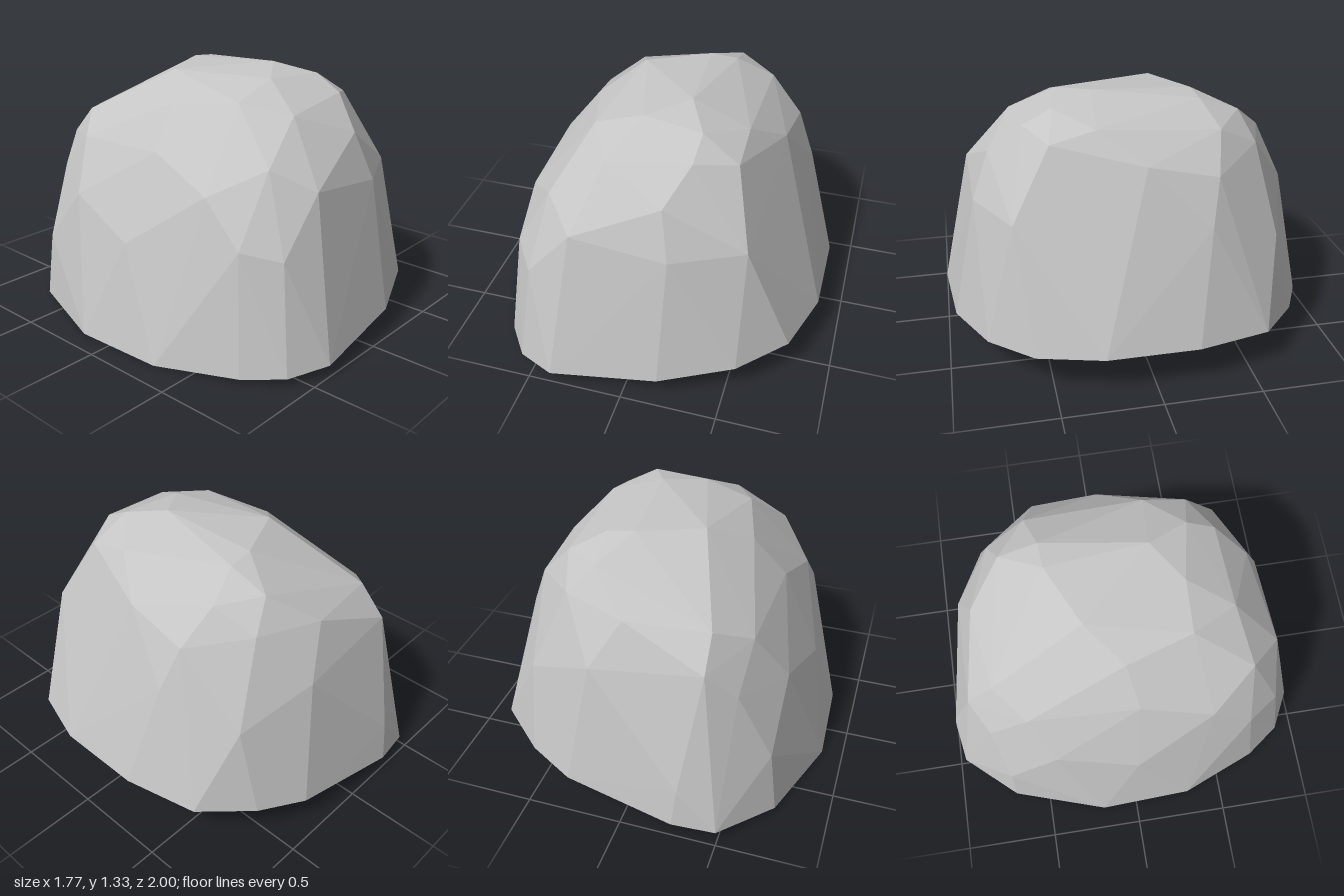
import * as THREE from 'three';
import { ConvexGeometry } from 'three/addons/geometries/ConvexGeometry.js';

// Slanted base outline as x, z pairs
const base = [
  [-0.27, -1], [0.31, -0.92], [0.55, -0.8], [0.79, -0.59], [0.885, -0.21], [0.885, 0.26],
  [0.78, 0.59], [0.55, 0.805], [0.18, 0.955], [-0.38, 1], [-0.58, 0.9], [-0.71, 0.72],
  [-0.87, 0.31], [-0.89, -0.19], [-0.73, -0.69], [-0.49, -0.965],
];

// Corners of the crown
const crown = [
  [0.155, 1.33, 0.2], [-0.2, 1.29, -0.18], [0.26, 1.285, -0.34], [0.12, 1.3, -0.33],
  [-0.05, 1.29, 0.35], [-0.3, 1.21, 0.35], [-0.4, 1.17, 0], [0.26, 1.28, 0.41],
  [0.45, 1.22, 0.22], [0.45, 1.16, 0.45], [0.25, 1.2, 0.56], [-0.17, 1.16, 0.59],
  [0.25, 1.21, -0.55], [0.45, 1.18, -0.4],
];

// Corners of the flanks
const flanks = [
  [-0.44, 0.97, 0.66], [0.15, 1.04, 0.73], [-0.285, 0.86, 0.83], [0.2, 0.8, 0.82],
  [-0.64, 0.62, 0.65], [-0.52, 0.58, 0.82], [-0.625, 0.83, 0.43], [0.55, 0.8, 0.65],
  [0.6, 1.07, 0], [0.62, 1, -0.35], [0.715, 0.775, -0.3], [0.38, 1.07, -0.61],
  [0.565, 0.63, -0.685], [0.05, 1.05, -0.73], [0.2, 0.8, -0.82], [-0.37, 1.03, -0.67],
  [-0.375, 0.88, -0.81], [-0.52, 0.73, -0.73], [-0.54, 0.93, -0.52], [-0.7, 0.67, -0.41],
  [-0.69, 0.36, -0.68], [-0.57, 0.96, 0.05], [-0.77, 0.53, 0.02], [-0.29, 0.27, -0.97],
];

export function createModel() {
  const group = new THREE.Group();
  group.name = 'boulder';

  const stone = new THREE.MeshStandardMaterial({ color: 0xc5c5c5 });
  stone.name = 'light grey stone';

  // The base lies on one tilted plane
  const points = base.map(([x, z]) => new THREE.Vector3(x, 0.105 + 0.118 * x, z));
  for (const p of [...crown, ...flanks]) points.push(new THREE.Vector3(...p));

  // Faceted rock wrapped around all corners
  const rock = new THREE.Mesh(new ConvexGeometry(points), stone);
  rock.name = 'rock';
  group.add(rock);
  return group;
}
